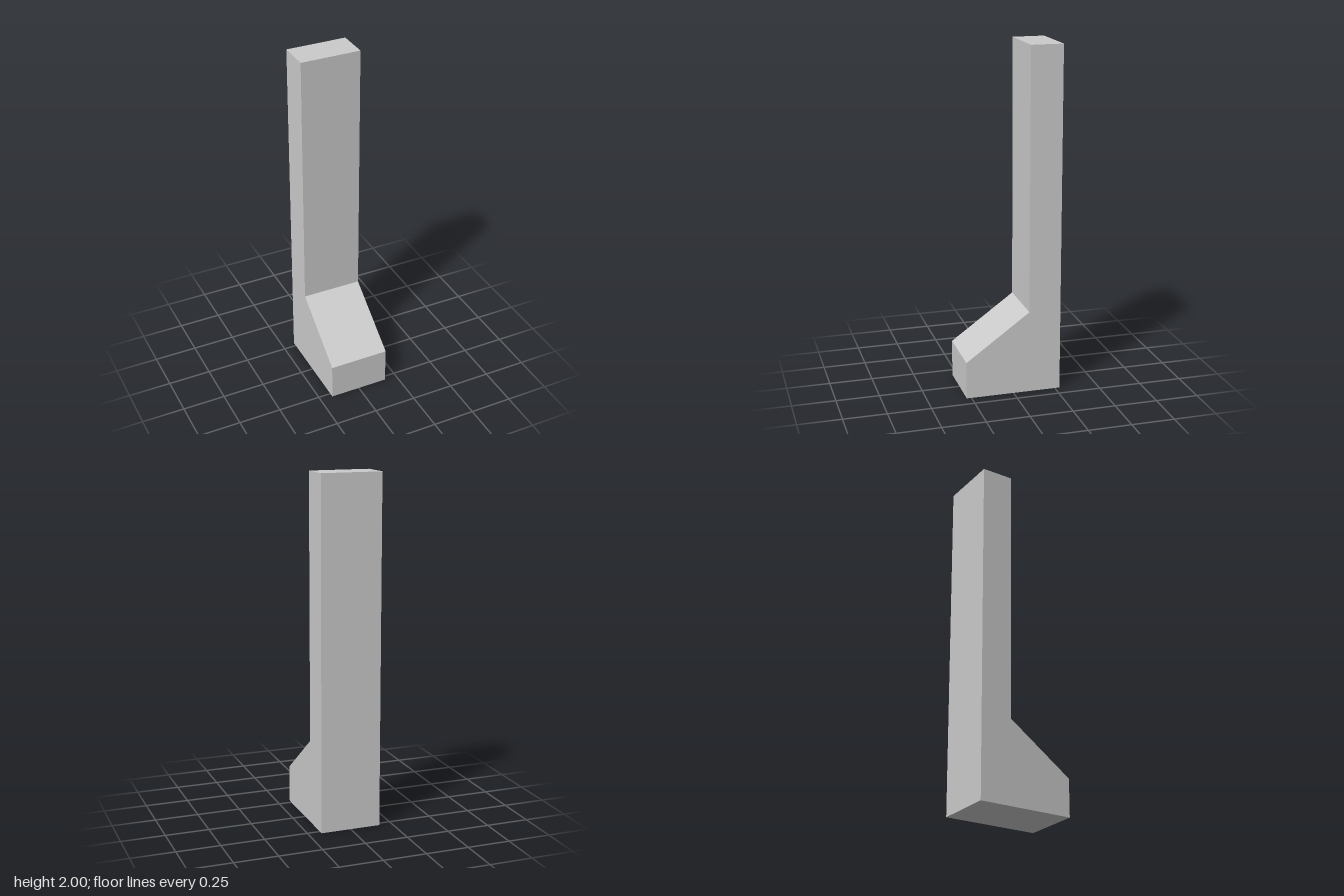
import * as THREE from 'three';

const WIDTH = 0.35;

export function createModel() {
  const group = new THREE.Group();
  group.name = 'footedPost';

  // Side profile as (z, y): tall post with a sloped foot at the front
  const profile = new THREE.Shape([
    [-0.278, 0], [0.278, 0], [0.278, 0.217], [-0.093, 0.485], [-0.093, 2], [-0.278, 2],
  ].map(([z, y]) => new THREE.Vector2(z, y)));

  // Extrude across the width, then turn the profile to face along z
  const geometry = new THREE.ExtrudeGeometry(profile, { depth: WIDTH, bevelEnabled: false });
  geometry.translate(0, 0, -WIDTH / 2);
  geometry.rotateY(-Math.PI / 2);

  const post = new THREE.Mesh(
    geometry,
    new THREE.MeshStandardMaterial({ color: 0xcccccc, flatShading: true }),
  );
  post.name = 'postWithSlopedFoot';
  group.add(post);
  return group;
}
